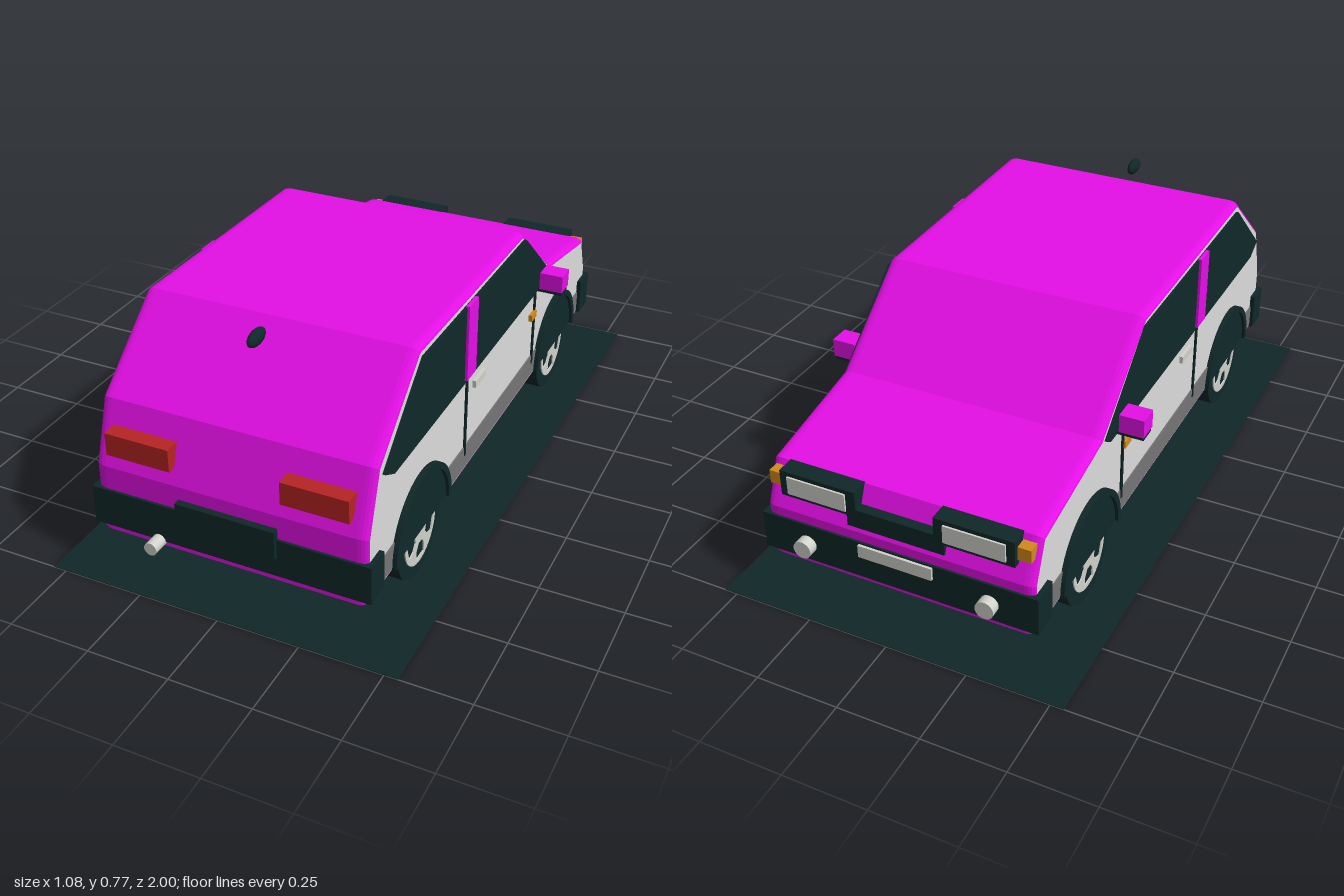
import * as THREE from 'three';

const mat = (name, color) => {
  const m = new THREE.MeshStandardMaterial({ color });
  m.name = name;
  return m;
};

export function createModel() {
  const car = new THREE.Group();
  car.name = 'hatchback';
  const magenta = mat('magenta paint', 0xe60fe8);
  const white = mat('white side paint', 0xdcdddc);
  const dark = mat('dark trim', 0x102828);
  const grey = mat('grey sill', 0x757577);
  const red = mat('red lamp', 0xb82424);
  const amber = mat('amber lamp', 0xd38a1c);
  const silver = mat('silver', 0xd2d2cc);

  const add = (name, geometry, material) => {
    const m = new THREE.Mesh(geometry, material);
    m.name = name;
    car.add(m);
    return m;
  };
  // Box given by its minimum and maximum on each axis
  const box = (name, material, x0, x1, y0, y1, z0, z1) => {
    const g = new THREE.BoxGeometry(x1 - x0, y1 - y0, z1 - z0);
    return add(name, g.translate((x0 + x1) / 2, (y0 + y1) / 2, (z0 + z1) / 2), material);
  };
  // Same box on one side of the car, x measured outwards
  const sideBox = (s, name, material, x0, x1, ...rest) =>
    box(name, material, Math.min(s * x0, s * x1), Math.max(s * x0, s * x1), ...rest);
  const outline = (pts) => new THREE.Shape(pts.map(([z, y]) => new THREE.Vector2(z, y)));
  // Side-on (z, y) shape extruded across x from x0 to x1 on side s
  const sidePlate = (s, name, material, shape, x0, x1) => {
    const g = new THREE.ExtrudeGeometry(shape, { depth: x1 - x0, bevelEnabled: false, curveSegments: 24 });
    return add(name, g.rotateY(-Math.PI / 2).translate(s > 0 ? x1 : -x0, 0, 0), material);
  };

  // Ground slab
  box('groundPlate', dark, -0.54, 0.54, 0, 0.002, -1, 1);

  // Body: white flanks, magenta skin and bevelled edge
  const profile = outline([
    [0.917, 0.13], [0.917, 0.345], [0.855, 0.532], [0.6, 0.747], [-0.2, 0.735],
    [-0.495, 0.5], [-0.863, 0.43], [-0.917, 0.3], [-0.912, 0.13],
  ]);
  const body = new THREE.ExtrudeGeometry(profile, {
    depth: 0.77, bevelEnabled: true, bevelThickness: 0.03, bevelSize: 0.015, bevelOffset: -0.015, bevelSegments: 4,
  });
  add('body', body.rotateY(-Math.PI / 2).translate(0.385, 0, 0), [white, magenta]);

  const glass = outline([
    [0.83, 0.5], [0.585, 0.718], [-0.206, 0.711], [-0.475, 0.483], [-0.45, 0.467], [0.77, 0.467],
  ]);

  for (const s of [1, -1]) {
    // Windows, pillar and door details
    sidePlate(s, 'sideWindows', dark, glass, 0.415, 0.424);
    sideBox(s, 'doorPillar', magenta, 0.42, 0.432, 0.48, 0.72, 0.217, 0.286);
    sideBox(s, 'sill', grey, 0.41, 0.419, 0.155, 0.23, -0.85, 0.85);
    for (const z of [0.25, -0.345]) sideBox(s, 'doorSeam', dark, 0.412, 0.421, 0.2, 0.46, z - 0.005, z + 0.005);
    sideBox(s, 'doorHandle', silver, 0.415, 0.426, 0.405, 0.428, 0.113, 0.195);
    sideBox(s, 'sideMarker', amber, 0.415, 0.427, 0.378, 0.4, -0.345, -0.3);

    // Mirror
    sideBox(s, 'mirror', magenta, 0.43, 0.505, 0.478, 0.535, -0.41, -0.345);
    sideBox(s, 'mirrorBase', dark, 0.41, 0.503, 0.466, 0.478, -0.405, -0.35);

    for (const z of [0.575, -0.57]) {
      // Wheel arch: filled half disc with a raised lip
      const disc = new THREE.Shape().absarc(z, 0.152, 0.194, 0, Math.PI, false);
      sidePlate(s, 'wheelArch', dark, disc, 0.405, 0.422);
      const lip = new THREE.Shape().absarc(z, 0.152, 0.196, 0, Math.PI, false);
      lip.absarc(z, 0.152, 0.176, Math.PI, 0, true);
      sidePlate(s, 'wheelArchLip', dark, lip, 0.405, 0.432);

      // Wheel with a five-hole rim
      const wheel = new THREE.CylinderGeometry(0.147, 0.147, 0.114, 32).rotateZ(Math.PI / 2);
      add('tyre', wheel.translate(s * 0.357, 0.147, z), dark);
      const rim = new THREE.Shape().absarc(z, 0.147, 0.105, 0, Math.PI * 2, false);
      for (let i = 0; i < 5; i++) {
        const a = -Math.PI / 2 + (i * Math.PI * 2) / 5;
        const at = (r, d) => new THREE.Vector2(z + r * Math.cos(a + d), 0.147 + r * Math.sin(a + d));
        rim.holes.push(new THREE.Path([at(0.04, 0.3), at(0.065, 0.42), at(0.092, 0.28), at(0.092, -0.28), at(0.065, -0.42), at(0.04, -0.3)]));
      }
      sidePlate(s, 'wheelRim', silver, rim, 0.412, 0.418);
    }

    // Lamps
    sideBox(s, 'tailLamp', red, 0.168, 0.368, 0.393, 0.463, 0.86, 0.926);
    sideBox(s, 'headlampHousing', dark, 0.12, 0.36, 0.35, 0.432, -0.917, -0.86);
    sideBox(s, 'headlamp', silver, 0.15, 0.335, 0.363, 0.419, -0.923, -0.91);
    sideBox(s, 'cornerLamp', amber, 0.362, 0.402, 0.37, 0.412, -0.906, -0.87);
    const fog = new THREE.CylinderGeometry(0.028, 0.028, 0.035, 24).rotateX(Math.PI / 2);
    add('fogLamp', fog.translate(s * 0.285, 0.205, -0.937), silver);
  }

  // Bumpers, grille and blank plates
  box('rearBumper', dark, -0.43, 0.43, 0.15, 0.27, 0.845, 0.925);
  box('rearPlate', dark, -0.152, 0.152, 0.213, 0.303, 0.91, 0.938);
  box('frontBumper', dark, -0.43, 0.43, 0.15, 0.27, -0.923, -0.838);
  box('grille', dark, -0.15, 0.15, 0.315, 0.375, -0.917, -0.87);
  box('frontPlate', silver, -0.115, 0.115, 0.225, 0.265, -0.931, -0.92);

  // Exhaust and roof aerial pod
  const pipe = new THREE.CylinderGeometry(0.02, 0.02, 0.125, 20).rotateX(Math.PI / 2);
  add('exhaust', pipe.translate(-0.22, 0.15, 0.91), silver);
  const pod = new THREE.SphereGeometry(1, 20, 14).scale(0.016, 0.024, 0.044);
  add('aerialPod', pod.translate(0, 0.744, 0.72), dark);

  return car;
}
